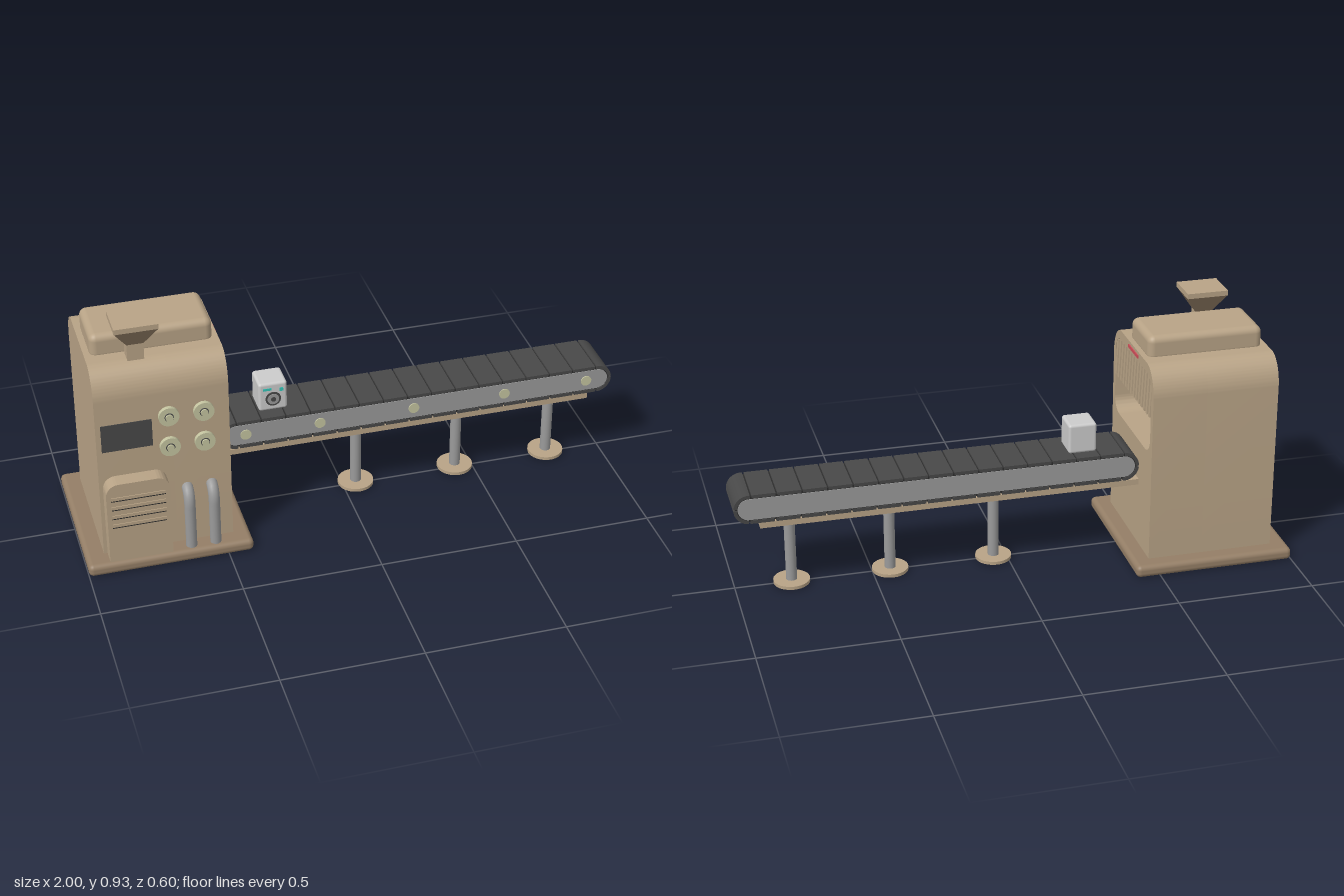
import * as THREE from 'three';
import { RoundedBoxGeometry } from 'three/addons/geometries/RoundedBoxGeometry.js';
import { toCreasedNormals } from 'three/addons/utils/BufferGeometryUtils.js';

const paint = (color) => new THREE.MeshStandardMaterial({ color });
const TAN = paint(0xb8a386), BROWN = paint(0x947e66), GREY = paint(0xcccccc), STEEL = paint(0x9a9a9a);
const DARK = paint(0x484848), BLACK = paint(0x2c2c2c), CREAM = paint(0xc4c4a0), RED = paint(0xd0505a), TEAL = paint(0x35c4b8);

function add(parent, name, geometry, material, x = 0, y = 0, z = 0) {
  const mesh = new THREE.Mesh(geometry, material);
  mesh.name = name;
  mesh.position.set(x, y, z);
  parent.add(mesh);
  return mesh;
}

// box given by its min and max on each axis, optionally rounded
function block(parent, name, [x0, x1], [y0, y1], [z0, z1], material, r = 0) {
  const s = [x1 - x0, y1 - y0, z1 - z0];
  const g = r ? new RoundedBoxGeometry(...s, 4, r) : new THREE.BoxGeometry(...s);
  return add(parent, name, g, material, (x0 + x1) / 2, (y0 + y1) / 2, (z0 + z1) / 2);
}

// disc whose axis points to +z
function disc(parent, name, r, depth, material, x, y, z) {
  const g = new THREE.CylinderGeometry(r, r, depth, 28).rotateX(Math.PI / 2);
  return add(parent, name, g, material, x, y, z + depth / 2);
}

function extrude(shape, depth) {
  const g = new THREE.ExtrudeGeometry(shape, { depth, bevelEnabled: false, curveSegments: 14 });
  return toCreasedNormals(g, 0.6);
}

// outline with separately rounded bottom and top corners
function roundedRect(p, x0, x1, y0, y1, rb, rx, ry = rx) {
  p.moveTo(x0 + rb, y0);
  p.lineTo(x1 - rb, y0);
  if (rb) p.absarc(x1 - rb, y0 + rb, rb, -Math.PI / 2, 0);
  p.lineTo(x1, y1 - ry);
  p.absellipse(x1 - rx, y1 - ry, rx, ry, 0, Math.PI / 2);
  p.lineTo(x0 + rx, y1);
  p.absellipse(x0 + rx, y1 - ry, rx, ry, Math.PI / 2, Math.PI);
  p.lineTo(x0, y0 + rb);
  if (rb) p.absarc(x0 + rb, y0 + rb, rb, Math.PI, Math.PI * 1.5);
  return p;
}

function makeHousing() {
  const g = new THREE.Group();
  g.name = 'machineHousing';
  block(g, 'basePlate', [-1, -0.41], [0, 0.046], [-0.298, 0.298], BROWN, 0.018);

  // body: solid rear section plus an outlet section with an opening
  const profile = () => roundedRect(new THREE.Shape(), -0.23, 0.24, 0.04, 0.78, 0, 0.083, 0.11);
  const rear = extrude(profile(), 0.265).rotateY(Math.PI / 2);
  add(g, 'bodyRear', rear, TAN, -0.935);
  const ring = profile();
  ring.holes.push(roundedRect(new THREE.Path(), -0.205, 0.215, 0.45, 0.745, 0.055, 0.055));
  add(g, 'bodyOutlet', extrude(ring, 0.2).rotateY(Math.PI / 2), TAN, -0.67);
  const liner = roundedRect(new THREE.Shape(), -0.205, 0.215, 0.45, 0.745, 0.055, 0.055);
  add(g, 'outletBackWall', extrude(liner, 0.004).rotateY(Math.PI / 2), BROWN, -0.671);

  // curtain of narrow strips over the outlet
  for (let i = 0; i < 14; i++) {
    const z = 0.186 - i * 0.0302;
    const strip = block(g, 'curtainStrip', [-0.476, -0.468], [0.595, i === 0 || i === 13 ? 0.735 : 0.747], [z - 0.008, z + 0.008], TAN);
    strip.rotation.z = 0.04;
  }
  block(g, 'warningLight', [-0.472, -0.466], [0.757, 0.769], [-0.06, 0.05], RED);

  // top cover
  block(g, 'topCover', [-0.914, -0.49], [0.76, 0.855], [-0.113, 0.102], TAN, 0.025);

  // feed hopper: neck, flared funnel and rim
  const hopper = new THREE.Group();
  hopper.name = 'feedHopper';
  hopper.position.set(-0.77, 0, 0.137);
  block(hopper, 'hopperNeck', [-0.029, 0.029], [0.74, 0.842], [-0.026, 0.026], TAN);
  const funnel = new THREE.BoxGeometry(1, 0.07, 1).toNonIndexed();
  const p = funnel.attributes.position;
  for (let i = 0; i < p.count; i++) {
    const top = p.getY(i) > 0;
    p.setX(i, p.getX(i) * (top ? 0.15 : 0.058));
    p.setZ(i, p.getZ(i) * (top ? 0.128 : 0.052));
  }
  funnel.computeVertexNormals();
  add(hopper, 'hopperFunnel', funnel, BROWN, 0, 0.875, 0);
  block(hopper, 'hopperRim', [-0.076, 0.076], [0.91, 0.929], [-0.065, 0.065], TAN);
  g.add(hopper);

  // front controls
  block(g, 'displayPanel', [-0.917, -0.74], [0.47, 0.577], [0.225, 0.232], DARK);
  for (const x of [-0.682, -0.56]) for (const y of [0.582, 0.459]) {
    disc(g, 'knobPlate', 0.036, 0.016, CREAM, x, y, 0.229);
    disc(g, 'knobCollar', 0.016, 0.002, DARK, x, y, 0.245);
    disc(g, 'knobCentre', 0.013, 0.007, CREAM, x, y, 0.245);
  }

  // service cabinet with louvres
  const door = roundedRect(new THREE.Shape(), -0.922, -0.698, 0.04, 0.367, 0, 0.045);
  add(g, 'serviceCabinet', extrude(door, 0.057), TAN, 0, 0, 0.228);
  for (let i = 0; i < 4; i++) {
    const y = 0.192 + i * 0.037;
    block(g, 'louvre', [-0.905, -0.715], [y, y + 0.012], [0.28, 0.288], TAN);
    block(g, 'louvreGap', [-0.905, -0.715], [y - 0.005, y], [0.28, 0.286], BLACK);
  }

  // bent pipes from the base into the body
  const pipe = new THREE.CurvePath();
  const V = (y, z) => new THREE.Vector3(0, y, z);
  pipe.add(new THREE.LineCurve3(V(0.035, 0.263), V(0.215, 0.263)));
  pipe.add(new THREE.CubicBezierCurve3(V(0.215, 0.263), V(0.25, 0.263), V(0.274, 0.25), V(0.276, 0.215)));
  for (const x of [-0.628, -0.541]) add(g, 'pipe', new THREE.TubeGeometry(pipe, 32, 0.02, 16), STEEL, x);
  return g;
}

function makeConveyor() {
  const g = new THREE.Group();
  g.name = 'conveyor';
  const R = 0.055, xa = -0.47 + R, xb = 1 - R, yc = 0.355, L = xb - xa;
  const stadium = (r) => {
    const s = new THREE.Shape();
    s.absarc(xb, yc, r, -Math.PI / 2, Math.PI / 2);
    s.absarc(xa, yc, r, Math.PI / 2, Math.PI * 1.5);
    s.closePath();
    return s;
  };
  add(g, 'beltCore', extrude(stadium(R - 0.006), 0.184), BLACK, 0, 0, -0.097);
  add(g, 'sidePlate', extrude(stadium(R - 0.015), 0.189), STEEL, 0, 0, -0.0995);

  // belt plates follow the loop, straight runs and round ends alike
  const arc = Math.PI * R, total = 2 * (L + arc);
  const at = (s, r) => {
    s = (s + total) % total;
    if (s < L) return new THREE.Vector2(xa + s, yc + r);
    if (s < L + arc) {
      const a = Math.PI / 2 - (s - L) / R;
      return new THREE.Vector2(xb + r * Math.cos(a), yc + r * Math.sin(a));
    }
    if (s < 2 * L + arc) return new THREE.Vector2(xb - (s - L - arc), yc - r);
    const a = -Math.PI / 2 - (s - 2 * L - arc) / R;
    return new THREE.Vector2(xa + r * Math.cos(a), yc + r * Math.sin(a));
  };
  const count = 34, pitch = total / count, steps = 10;
  for (let i = 0; i < count; i++) {
    const outer = [], inner = [];
    for (let k = 0; k <= steps; k++) {
      const s = i * pitch + 0.003 + (k / steps) * (pitch - 0.006);
      outer.push(at(s, R));
      inner.unshift(at(s, R - 0.012));
    }
    add(g, 'beltPlate', extrude(new THREE.Shape([...outer, ...inner]), 0.19), DARK, 0, 0, -0.1);
  }
  for (const x of [-0.382, -0.11, 0.24, 0.585, 0.902]) disc(g, 'rollerCap', 0.02, 0.006, CREAM, x, yc, 0.087);

  // support beam, legs and feet
  block(g, 'supportBeam', [-0.48, 0.91], [0.278, 0.3], [-0.1, 0.09], TAN);
  for (const x of [0.05, 0.435, 0.795]) {
    add(g, 'leg', new THREE.CylinderGeometry(0.02, 0.02, 0.275, 24), STEEL, x, 0.1425, -0.005);
    add(g, 'foot', new THREE.CylinderGeometry(0.066, 0.066, 0.012, 32), TAN, x, 0.009, -0.005);
  }
  return g;
}

function makeProduct() {
  const g = new THREE.Group();
  g.name = 'productOnBelt';
  block(g, 'productBox', [-0.321, -0.217], [0.41, 0.522], [-0.06, 0.044], GREY, 0.01);
  disc(g, 'dialRim', 0.028, 0.004, DARK, -0.269, 0.458, 0.043);
  disc(g, 'dialFace', 0.021, 0.003, STEEL, -0.269, 0.458, 0.046);
  disc(g, 'dialCentre', 0.009, 0.003, DARK, -0.269, 0.458, 0.048);
  block(g, 'indicator', [-0.305, -0.275], [0.494, 0.503], [0.042, 0.046], TEAL);
  block(g, 'indicator', [-0.245, -0.232], [0.486, 0.5], [0.042, 0.046], TEAL);
  return g;
}

export function createModel() {
  const model = new THREE.Group();
  model.name = 'conveyorMachine';
  model.add(makeHousing(), makeConveyor(), makeProduct());
  return model;
}
